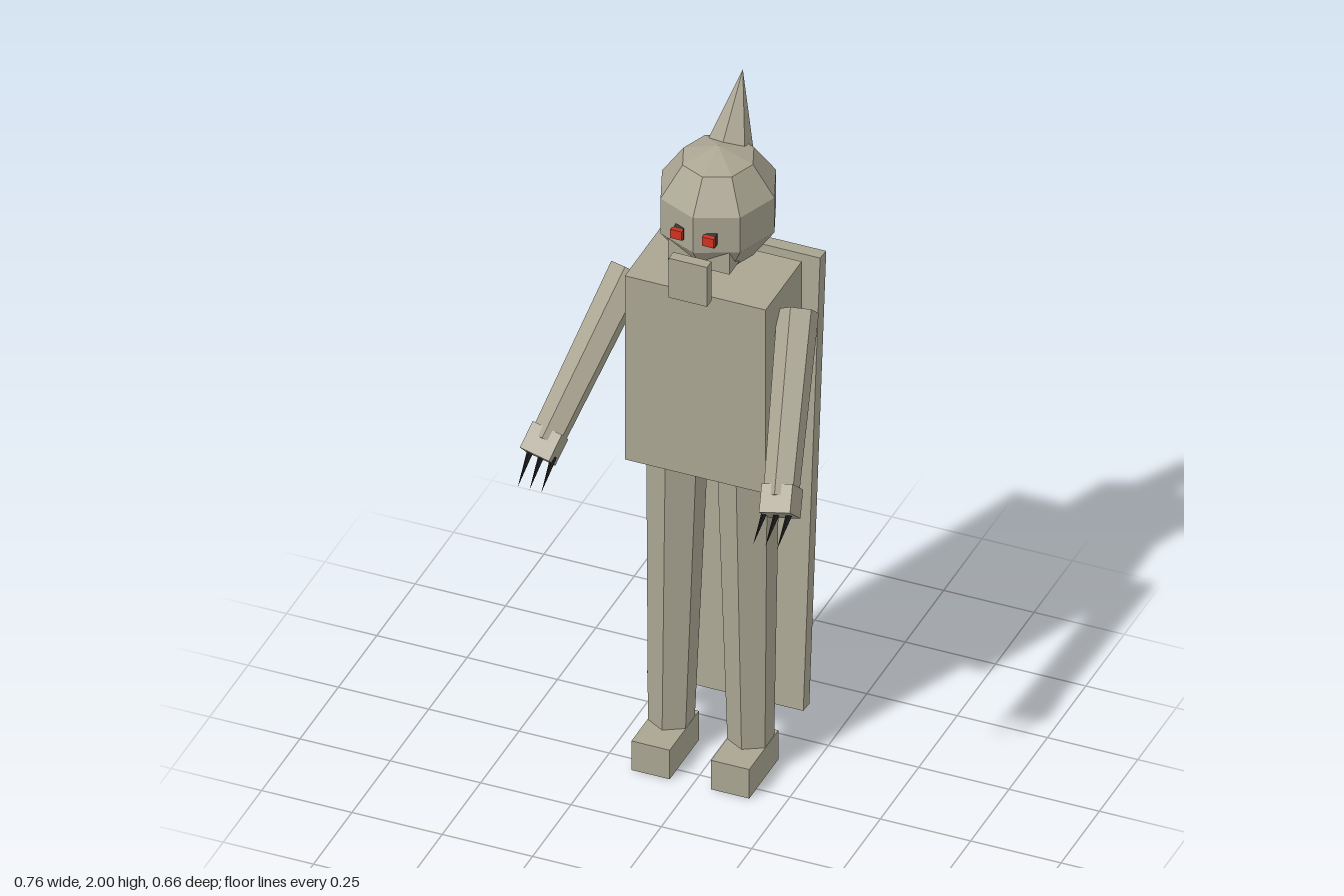
import * as THREE from 'three';

const paint = (name, color) => {
  const m = new THREE.MeshStandardMaterial({ color, flatShading: true });
  m.name = name;
  return m;
};

export function createModel() {
  const stone = paint('stone grey', 0xaaa592);
  const red = paint('eye red', 0xcc3322);
  const dark = paint('socket dark', 0x3a352e);
  const black = paint('claw black', 0x161616);

  const model = new THREE.Group();
  model.name = 'figure';
  const body = new THREE.Group();
  body.name = 'body';
  body.position.x = -0.006;
  model.add(body);

  const add = (name, geometry, material, x, y, z) => {
    const mesh = new THREE.Mesh(geometry, material);
    mesh.name = name;
    mesh.position.set(x, y, z);
    body.add(mesh);
    return mesh;
  };
  const box = (name, w, h, d, x, y, z, material = stone) =>
    add(name, new THREE.BoxGeometry(w, h, d), material, x, y, z);

  // Tapered prism running from point a to point b
  const limb = (name, a, b, ra, rb, sides, material = stone) => {
    const from = new THREE.Vector3(...a), to = new THREE.Vector3(...b);
    const axis = from.clone().sub(to);
    const mid = from.clone().add(to).multiplyScalar(0.5);
    const mesh = add(name, new THREE.CylinderGeometry(ra, rb, axis.length(), sides), material, mid.x, mid.y, mid.z);
    mesh.quaternion.setFromUnitVectors(new THREE.Vector3(0, 1, 0), axis.normalize());
    return mesh;
  };

  // Torso and leaning back slab
  box('torso', 0.39, 0.57, 0.235, 0, 1.22, -0.1025);
  box('cape', 0.432, 1.34, 0.04, 0, 0.807, -0.255).rotation.x = -0.082;

  // Head, face plate, mouth plate and horn
  add('head', new THREE.SphereGeometry(0.174, 8, 5), stone, 0, 1.693, -0.135).scale.x = 0.94;
  box('facePlate', 0.17, 0.13, 0.09, 0, 1.635, -0.053);
  box('mouthPlate', 0.106, 0.122, 0.03, 0, 1.568, 0.048);
  limb('horn', [0, 2.0, -0.295], [0, 1.755, -0.181], 0, 0.083, 6);

  for (const side of [1, -1]) {
    const label = side > 0 ? 'left' : 'right';

    // Eyes
    box(label + 'EyeSocket', 0.027, 0.034, 0.03, side * 0.044, 1.682, 0.01, dark);
    box(label + 'Eye', 0.032, 0.027, 0.012, side * 0.044, 1.687, 0.031, red);

    // Legs and feet
    limb(label + 'Leg', [side * 0.098, 0.94, -0.1], [side * 0.11, 0.08, -0.088], 0.08, 0.06, 6);
    box(label + 'Foot', 0.106, 0.09, 0.19, side * 0.11, 0.045, -0.048);

    // Arms and hands
    const arm = limb(label + 'Arm', [side * 0.233, 1.435, -0.106], [side * 0.325, 1.09, 0.222], 0.054, 0.046, 6);
    const hand = box(label + 'Hand', 0.085, 0.075, 0.075, side * 0.328, 1.085, 0.228);
    hand.quaternion.copy(arm.quaternion);

    // Claws
    for (const i of [-1, 0, 1]) {
      const x = side * 0.326 + i * 0.0325;
      limb(label + 'Claw', [x, 1.062, 0.245], [x, 1.005, 0.327], 0.009, 0, 5, black);
    }
  }
  return model;
}
